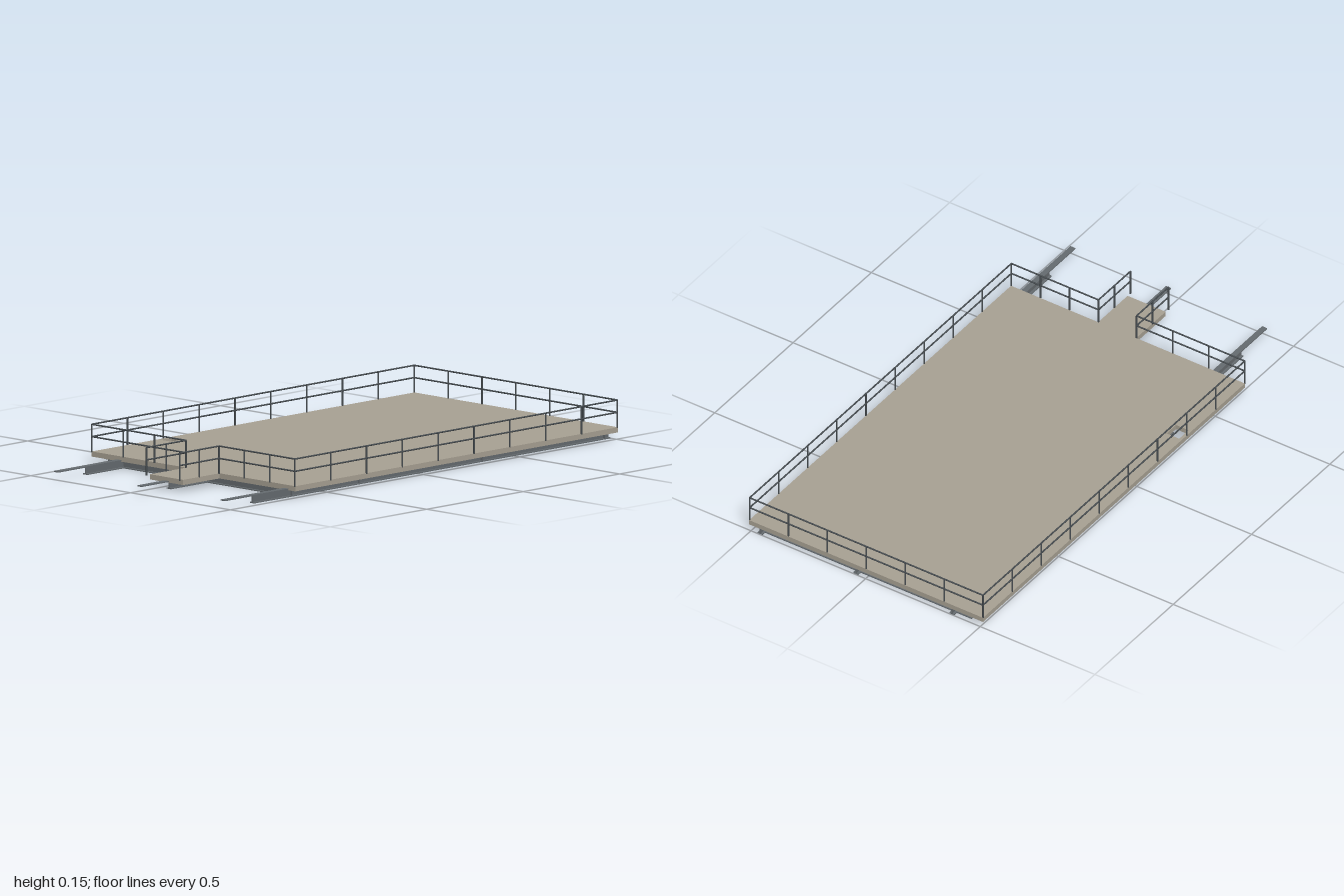
import * as THREE from 'three';

const deckMat = new THREE.MeshStandardMaterial({ color: 0xa9a294 });
deckMat.name = 'deckTan';
const beamMat = new THREE.MeshStandardMaterial({ color: 0x666c70 });
beamMat.name = 'steelGrey';
const railMat = new THREE.MeshStandardMaterial({ color: 0x474d51 });
railMat.name = 'railGrey';

const DECK_BOTTOM = 0.026, DECK_TOP = 0.045;
const RAIL_MID = 0.1, RAIL_TOP = 0.145, RAIL_R = 0.003;

function addMesh(parent, name, geometry, material) {
  const mesh = new THREE.Mesh(geometry, material);
  mesh.name = name;
  parent.add(mesh);
  return mesh;
}

// I-section standing on y = 0, extruded along +z
function iBeam(width, height, length) {
  const w = width / 2, t = 0.004, web = 0.002;
  const half = [[w, 0], [w, t], [web, t], [web, height - t], [w, height - t], [w, height]];
  const mirrored = half.map(([x, y]) => [-x, y]).reverse();
  const shape = new THREE.Shape([...half, ...mirrored].map(([x, y]) => new THREE.Vector2(x, y)));
  return new THREE.ExtrudeGeometry(shape, { depth: length, bevelEnabled: false });
}

// Round bar between two points
function addBar(parent, name, a, b) {
  const dir = b.clone().sub(a);
  const bar = addMesh(parent, name, new THREE.CylinderGeometry(RAIL_R, RAIL_R, dir.length(), 8), railMat);
  bar.position.copy(a).add(b).multiplyScalar(0.5);
  bar.quaternion.setFromUnitVectors(new THREE.Vector3(0, 1, 0), dir.normalize());
}

// Straight railing run with evenly spaced posts and two rails
function addRailing(parent, name, [x0, z0], [x1, z1], bays) {
  const run = new THREE.Group();
  run.name = name;
  const at = (t, y) => new THREE.Vector3(x0 + (x1 - x0) * t, y, z0 + (z1 - z0) * t);
  for (let i = 0; i <= bays; i++) addBar(run, 'post', at(i / bays, DECK_TOP - 0.002), at(i / bays, RAIL_TOP));
  addBar(run, 'middleRail', at(0, RAIL_MID), at(1, RAIL_MID));
  addBar(run, 'topRail', at(0, RAIL_TOP), at(1, RAIL_TOP));
  parent.add(run);
}

export function createModel() {
  const model = new THREE.Group();
  model.name = 'platform';

  // Deck plate with front landing and a small square opening
  const outline = [[-0.512, 1], [-0.512, -0.672], [-0.038, -0.672], [-0.038, -0.86],
    [0.128, -0.86], [0.128, -0.672], [0.508, -0.672], [0.508, 1]];
  const shape = new THREE.Shape(outline.map(([x, y]) => new THREE.Vector2(x, y)));
  const hole = [[-0.5, -0.27], [-0.445, -0.27], [-0.445, -0.33], [-0.5, -0.33]];
  shape.holes.push(new THREE.Path(hole.map(([x, y]) => new THREE.Vector2(x, y))));
  const deckGeo = new THREE.ExtrudeGeometry(shape, { depth: DECK_TOP - DECK_BOTTOM, bevelEnabled: false });
  deckGeo.rotateX(-Math.PI / 2);
  addMesh(model, 'deck', deckGeo, deckMat).position.y = DECK_BOTTOM;

  // Long beams whose top flange runs on past the front
  const frame = new THREE.Group();
  frame.name = 'underframe';
  model.add(frame);
  for (const x of [-0.374, 0.045, 0.462]) {
    addMesh(frame, 'longBeam', iBeam(0.022, 0.032, 1.845), beamMat).position.set(x, 0, -0.997);
    addMesh(frame, 'flangeExtension', new THREE.BoxGeometry(0.022, 0.004, 0.152), beamMat)
      .position.set(x, 0.03, 0.924);
  }

  // Cross beams
  for (const z of [-0.97, -0.335, 0.3, 0.65]) {
    const beam = addMesh(frame, 'crossBeam', iBeam(0.022, DECK_BOTTOM, 0.923), beamMat);
    beam.rotation.y = Math.PI / 2;
    beam.position.set(-0.45, 0, z);
  }

  // Railings around the edge, open at the landing's front
  const L = 0.508, R = -0.51, B = -0.997, F = 0.674;
  addRailing(model, 'backRailing', [R, B], [L, B], 6);
  addRailing(model, 'leftRailing', [L, B], [L, F], 9);
  addRailing(model, 'rightRailing', [R, B], [R, F], 9);
  addRailing(model, 'frontRightRailing', [R, F], [-0.038, F], 3);
  addRailing(model, 'frontLeftRailing', [0.128, F], [L, F], 3);
  addRailing(model, 'landingRightRailing', [-0.038, F], [-0.038, 0.878], 2);
  addRailing(model, 'landingLeftRailing', [0.128, F], [0.128, 0.878], 2);

  return model;
}
